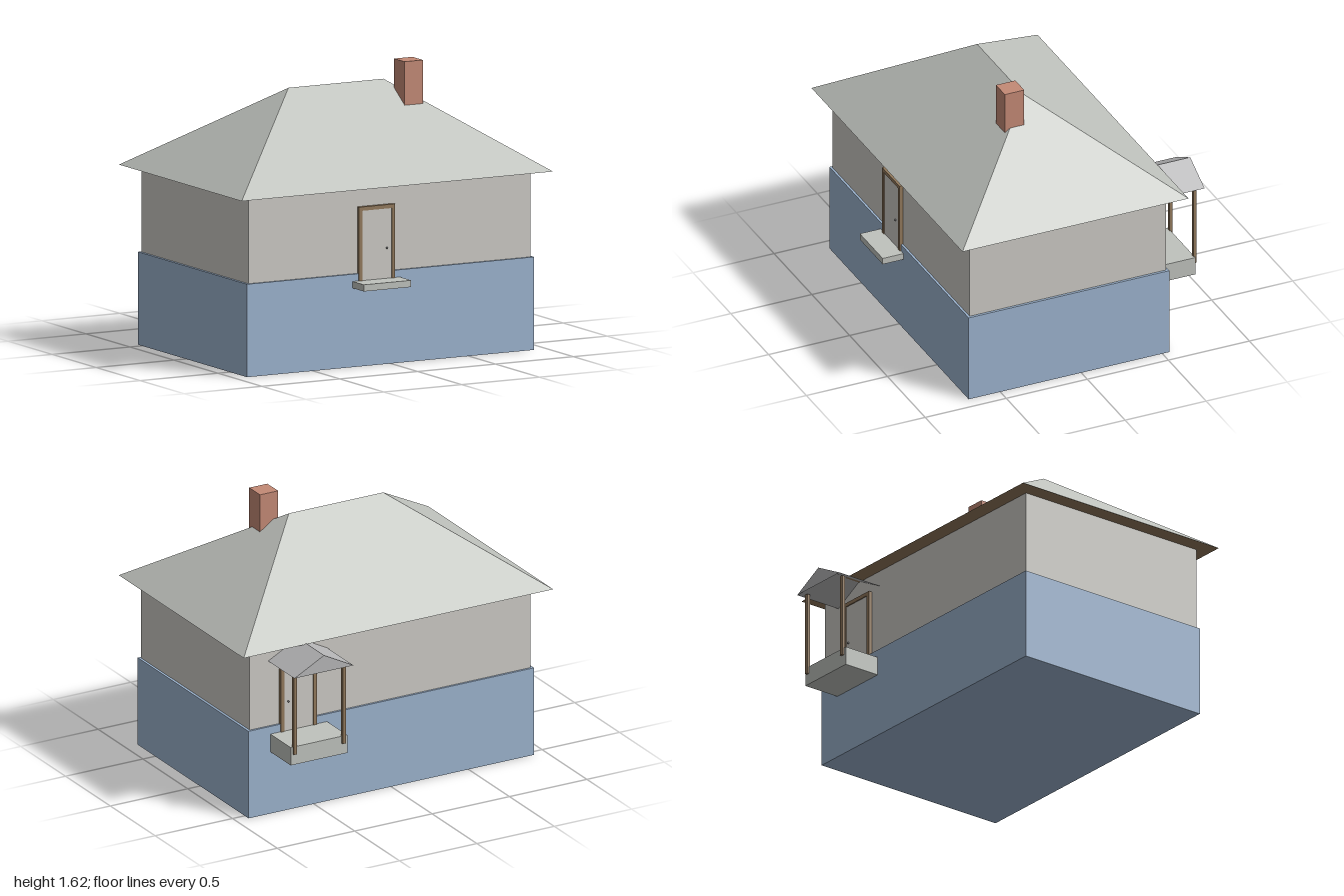
import * as THREE from 'three';

const mat = (name, color, extra = {}) => {
  const m = new THREE.MeshStandardMaterial({ color, ...extra });
  m.name = name;
  return m;
};

// Flat-faced geometry from polygons (counter-clockwise seen from outside)
function facets(polys) {
  const pos = [];
  for (const p of polys) {
    for (let i = 1; i < p.length - 1; i++) pos.push(...p[0], ...p[i], ...p[i + 1]);
  }
  const g = new THREE.BufferGeometry();
  g.setAttribute('position', new THREE.Float32BufferAttribute(pos, 3));
  g.computeVertexNormals();
  return g;
}

export function createModel() {
  const house = new THREE.Group();
  house.name = 'house';

  const blue = mat('foundationBlue', 0x9cb3ce);
  const plaster = mat('wallPlaster', 0xcccac5);
  const roofGrey = mat('roofGrey', 0xbfc2bd);
  const wood = mat('wood', 0x92795c);
  const brick = mat('brick', 0xc48a76);
  const canopyGrey = mat('canopyGrey', 0xb6b6b7, { side: THREE.DoubleSide });
  const metal = mat('knobMetal', 0x8e8e8e);

  const add = (parent, name, geometry, material) => {
    const m = new THREE.Mesh(geometry, material);
    m.name = name;
    parent.add(m);
    return m;
  };
  // Box given by its extents on each axis
  const box = (parent, name, material, [x0, x1], [y0, y1], [z0, z1]) => {
    const m = add(parent, name, new THREE.BoxGeometry(x1 - x0, y1 - y0, z1 - z0), material);
    m.position.set((x0 + x1) / 2, (y0 + y1) / 2, (z0 + z1) / 2);
    return m;
  };

  // Foundation and walls
  box(house, 'foundation', blue, [-0.923, 0.921], [0, 0.527], [-0.543, 0.695]);
  box(house, 'walls', plaster, [-0.908, 0.906], [0.527, 1.015], [-0.53, 0.682]);

  // Hipped roof and its timber underside
  const eave = 1.016, top = 1.497, zb = -0.625, zf = 0.77, zr = 0.072, xr = 0.305;
  const fl = [-1, eave, zf], fr = [1, eave, zf], br = [1, eave, zb], bl = [-1, eave, zb];
  const rl = [-xr, top, zr], rr = [xr, top, zr];
  add(house, 'roof', facets([[fl, fr, rr, rl], [br, bl, rl, rr], [fr, br, rr], [bl, fl, rl]]), roofGrey);
  add(house, 'soffit', facets([[fl, bl, br, fr]]), wood);

  // Chimney
  box(house, 'chimney', brick, [0.338, 0.455], [1.3, 1.618], [0.135, 0.255]);

  // Door built facing +z around x = 0, with z = 0 on the foundation face
  const door = (name, y0, y1, knobX) => {
    const g = new THREE.Group();
    g.name = name;
    const w = 0.116, t = 0.022;
    for (const s of [-1, 1]) {
      const x = s * (w - t / 2);
      box(g, 'doorJamb', wood, [x - t / 2, x + t / 2], [y0, y1], [-0.015, 0.008]);
    }
    box(g, 'doorHead', wood, [-w + t, w - t], [y1 - t, y1], [-0.015, 0.008]);
    box(g, 'doorLeaf', plaster, [-w + t, w - t], [y0, y1 - t], [-0.015, 0.002]);
    const knob = add(g, 'doorKnob', new THREE.SphereGeometry(0.006, 12, 8), metal);
    knob.position.set(knobX, 0.66, 0.01);
    house.add(g);
    return g;
  };
  door('frontDoor', 0.485, 0.905, 0.062).position.set(-0.092, 0, 0.695);
  const backDoor = door('backDoor', 0.48, 0.914, -0.07);
  backDoor.position.set(0.6, 0, -0.543);
  backDoor.rotation.y = Math.PI;

  // Front step
  box(house, 'frontStep', roofGrey, [-0.245, 0.058], [0.448, 0.486], [0.695, 0.823]);

  // Back porch: slab, two posts and a gabled canopy
  const porch = new THREE.Group();
  porch.name = 'backPorch';
  house.add(porch);
  box(porch, 'porchSlab', roofGrey, [0.415, 0.78], [0.373, 0.481], [-0.77, -0.543]);
  for (const x of [0.441, 0.757]) {
    box(porch, 'porchPost', wood, [x - 0.01, x + 0.01], [0.438, 0.925], [-0.782, -0.763]);
  }
  const x0 = 0.405, x1 = 0.787, xm = 0.596, low = 0.92, high = 1.02, zo = -0.823, zi = -0.53;
  add(porch, 'porchCanopy', facets([
    [[x1, low, zi], [x1, low, zo], [xm, high, zo], [xm, high, zi]],
    [[x0, low, zo], [x0, low, zi], [xm, high, zi], [xm, high, zo]],
    [[x1, low, zo], [x0, low, zo], [xm, high, zo]],
  ]), canopyGrey);

  return house;
}
